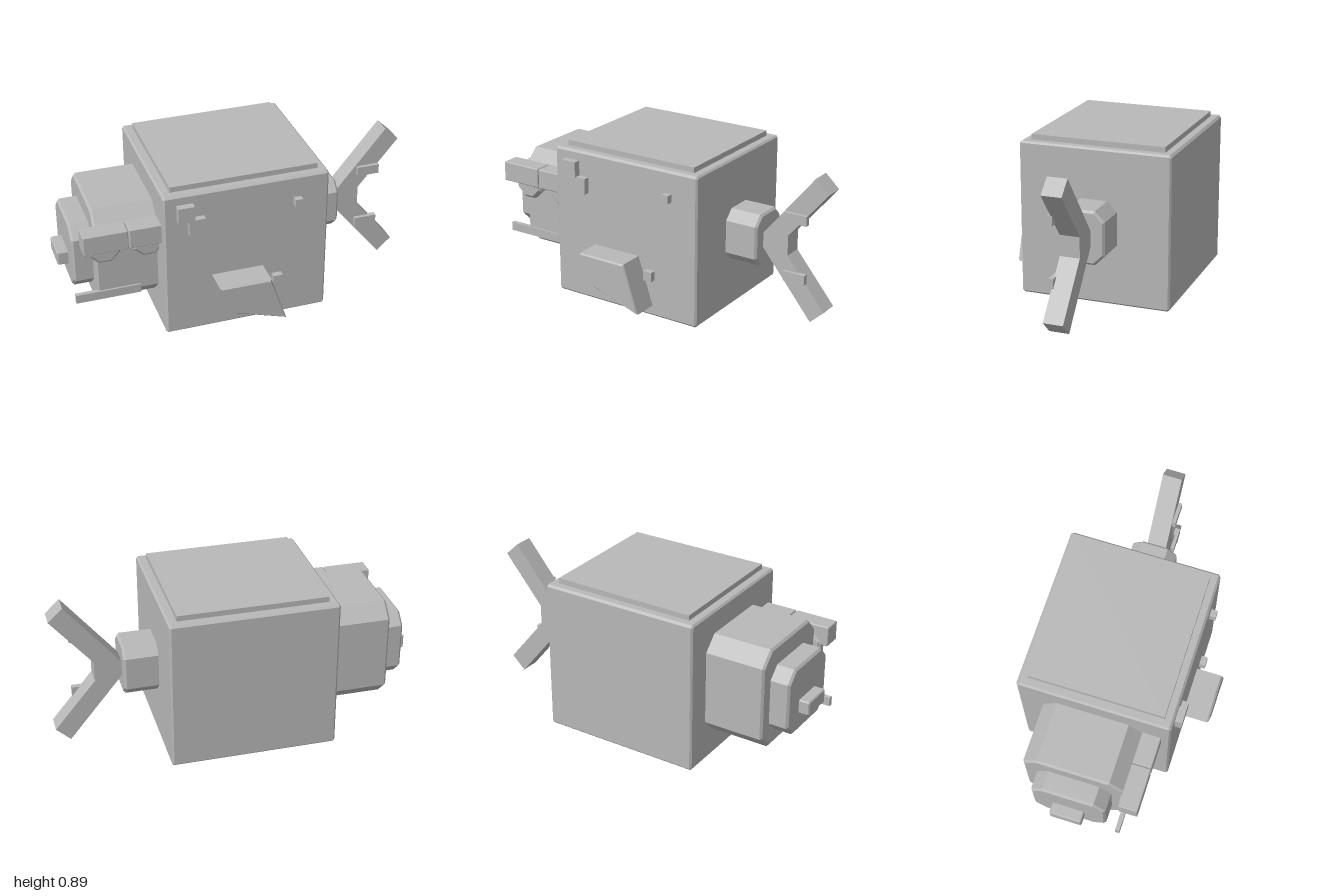
import * as THREE from 'three';

const grey = new THREE.MeshStandardMaterial({ color: 0xb8b8b8 });
grey.name = 'plain grey';

// Prism along z from z0 to z1 with a narrow bevel on both ends
function prismGeometry(points, z0, z1, bevel = 0) {
  const shape = new THREE.Shape(points.map(([x, y]) => new THREE.Vector2(x, y)));
  return new THREE.ExtrudeGeometry(shape, {
    depth: z1 - z0 - 2 * bevel,
    bevelEnabled: bevel > 0,
    bevelThickness: bevel,
    bevelSize: bevel,
    bevelOffset: -bevel,
    bevelSegments: 1,
  }).translate(0, 0, z0 + bevel);
}

// Rectangle with its four corners cut off
function cutRectangle(x0, x1, y0, y1, c) {
  return [
    [x0 + c, y0], [x1 - c, y0], [x1, y0 + c], [x1, y1 - c],
    [x1 - c, y1], [x0 + c, y1], [x0, y1 - c], [x0, y0 + c],
  ];
}

export function createModel() {
  const model = new THREE.Group();
  model.name = 'blockFish';

  const add = (name, geometry, parent = model) => {
    const mesh = new THREE.Mesh(geometry, grey);
    mesh.name = name;
    parent.add(mesh);
    return mesh;
  };
  const box = (name, [x0, x1], [y0, y1], [z0, z1], parent) =>
    add(name, new THREE.BoxGeometry(x1 - x0, y1 - y0, z1 - z0)
      .translate((x0 + x1) / 2, (y0 + y1) / 2, (z0 + z1) / 2), parent);
  // Block running along x with cut long edges
  const block = (name, [x0, x1], [y0, y1], [z0, z1], cut, bevel) =>
    add(name, prismGeometry(cutRectangle(-z1, -z0, y0, y1, cut), x0, x1, bevel)
      .rotateY(Math.PI / 2));

  // Body and back plate
  block('body', [-0.49, 0.43], [0, 0.86], [-0.5, 0.35], 0.012, 0.01);
  box('backPlate', [-0.44, 0.38], [0.85, 0.89], [-0.45, 0.3]);

  // Head, snout and nose
  block('head', [-0.83, -0.45], [0.155, 0.73], [-0.36, 0.2], 0.08, 0.012);
  block('snout', [-0.94, -0.8], [0.235, 0.62], [-0.285, 0.13], 0.065, 0.012);
  block('nose', [-1, -0.92], [0.34, 0.42], [-0.17, 0.01], 0.006, 0.006);
  box('lip', [-0.95, -0.59], [0.21, 0.26], [0.185, 0.21]);

  // Eyes with heavy brows
  [[-0.785, -0.91, -0.668], [-0.545, -0.662, -0.43]].forEach(([x, browLeft, browRight], i) => {
    const eye = new THREE.Group();
    eye.name = i ? 'innerEye' : 'outerEye';
    model.add(eye);
    add('eyeball', prismGeometry(
      cutRectangle(x - 0.085, x + 0.085, 0.46, 0.63, 0.05), 0.185, 0.245, 0.015), eye);
    add('pupil', prismGeometry(
      cutRectangle(x - 0.05, x + 0.05, 0.5, 0.6, 0.03), 0.24, 0.253), eye);
    box('glint', [x - 0.005, x + 0.005], [0.535, 0.545], [0.25, 0.258], eye);
    block('brow', [browLeft, browRight], [0.56, 0.672], [0.195, 0.3], 0.004, 0.004);
  });

  // Raised spots on the front face
  [
    [-0.42, -0.33, 0.715, 0.805, 0.39],
    [-0.36, -0.27, 0.63, 0.72, 0.385],
    [0.23, 0.272, 0.69, 0.735, 0.385],
    [0.112, 0.165, 0.218, 0.272, 0.385],
  ].forEach(([x0, x1, y0, y1, z1]) => box('spot', [x0, x1], [y0, y1], [0.34, z1]));

  // Slanted side fin
  add('sideFin', prismGeometry(
    [[-0.23, 0.335], [-0.14, 0.155], [0.15, 0.063], [0.06, 0.335]], 0.33, 0.5, 0.009));

  // Tail root and forked tail
  block('tailRoot', [0.4, 0.62], [0.285, 0.58], [-0.205, 0.055], 0.055, 0.012);
  add('tail', prismGeometry([
    [0.585, 0.432], [0.92, 0.022], [1, 0.097], [0.77, 0.375],
    [0.77, 0.49], [1, 0.767], [0.92, 0.842],
  ], -0.13, -0.02));
  for (const y of [0.235, 0.573]) {
    box('tailStripe', [0.755, 0.885], [y, y + 0.055], [-0.03, 0]);
  }

  return model;
}
